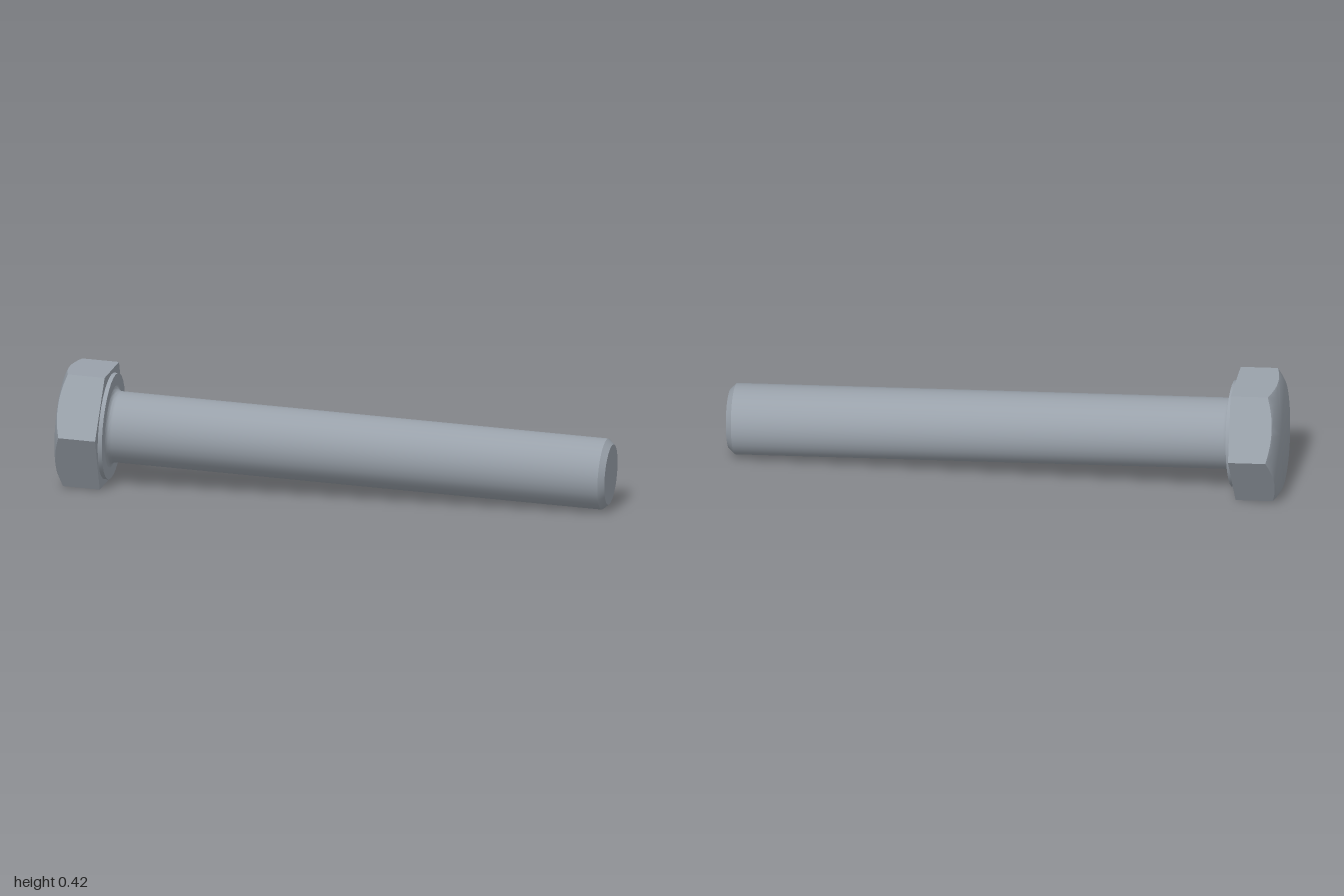
import * as THREE from 'three';
import { toCreasedNormals } from 'three/addons/utils/BufferGeometryUtils.js';

const FLAT = 0.205;      // half the width across the hex flats
const HEAD = 0.155;      // hex height
const LENGTH = 1.8226;   // hex underside to tip
const R = 0.127;         // shank radius
const WASHER = 0.015;    // height of the raised bearing face

const lathe = (points, sides) =>
  new THREE.LatheGeometry(points.map(([x, y]) => new THREE.Vector2(x, y)), sides);

// Hexagonal prism whose back corners are cut by a 30 degree cone
function hexHeadGeometry() {
  const flatRadius = 0.2;
  const geo = lathe([[0, -HEAD], [flatRadius, -HEAD], [1, -HEAD], [1, 0], [0, 0]], 48);
  const pos = geo.attributes.position;
  for (let i = 0; i < pos.count; i++) {
    const x = pos.getX(i), z = pos.getZ(i);
    if (Math.hypot(x, z) < 0.9) continue; // only the outer rows follow the hexagon
    const a = Math.atan2(x, z) + Math.PI * 2;
    const r = FLAT / Math.cos((a % (Math.PI / 3)) - Math.PI / 6);
    const back = pos.getY(i) < -HEAD / 2;
    const y = back ? -HEAD + (r - flatRadius) * Math.tan(Math.PI / 6) : 0;
    pos.setXYZ(i, x * r, y, z * r);
  }
  return toCreasedNormals(geo, 0.6);
}

// Round shank with a fillet under the head and a chamfered tip
function shankGeometry() {
  const f = 0.02, profile = [];
  for (let i = 0; i <= 5; i++) {
    const a = (i / 5) * Math.PI / 2;
    profile.push([R + f * (1 - Math.sin(a)), WASHER + f * (1 - Math.cos(a))]);
  }
  profile.push([R, LENGTH - 0.021], [0.108, LENGTH], [0, LENGTH]);
  return toCreasedNormals(lathe(profile, 32), 0.6);
}

export function createModel() {
  const steel = new THREE.MeshStandardMaterial({ color: 0x99a1aa });
  steel.name = 'steel';
  const bolt = new THREE.Group();
  bolt.name = 'bolt';
  const add = (name, geometry) => {
    const mesh = new THREE.Mesh(geometry, steel);
    mesh.name = name;
    bolt.add(mesh);
  };

  add('hexHead', hexHeadGeometry());
  add('bearingFace', toCreasedNormals(
    lathe([[0.19, -0.005], [0.19, WASHER], [R, WASHER]], 32), 0.6));
  add('shank', shankGeometry());

  // Lay the bolt on its side, resting on a hex flat and the tip
  const axis = new THREE.Vector3(0.9775, -0.0435, 0.2063).normalize();
  const side = new THREE.Vector3(0, 1, 0).cross(axis).normalize();
  const up = axis.clone().cross(side);
  bolt.quaternion.setFromRotationMatrix(new THREE.Matrix4().makeBasis(up, axis, side));
  bolt.position.set(-0.8046, 0.206, -0.116);

  const model = new THREE.Group();
  model.name = 'hexBolt';
  model.add(bolt);
  return model;
}
